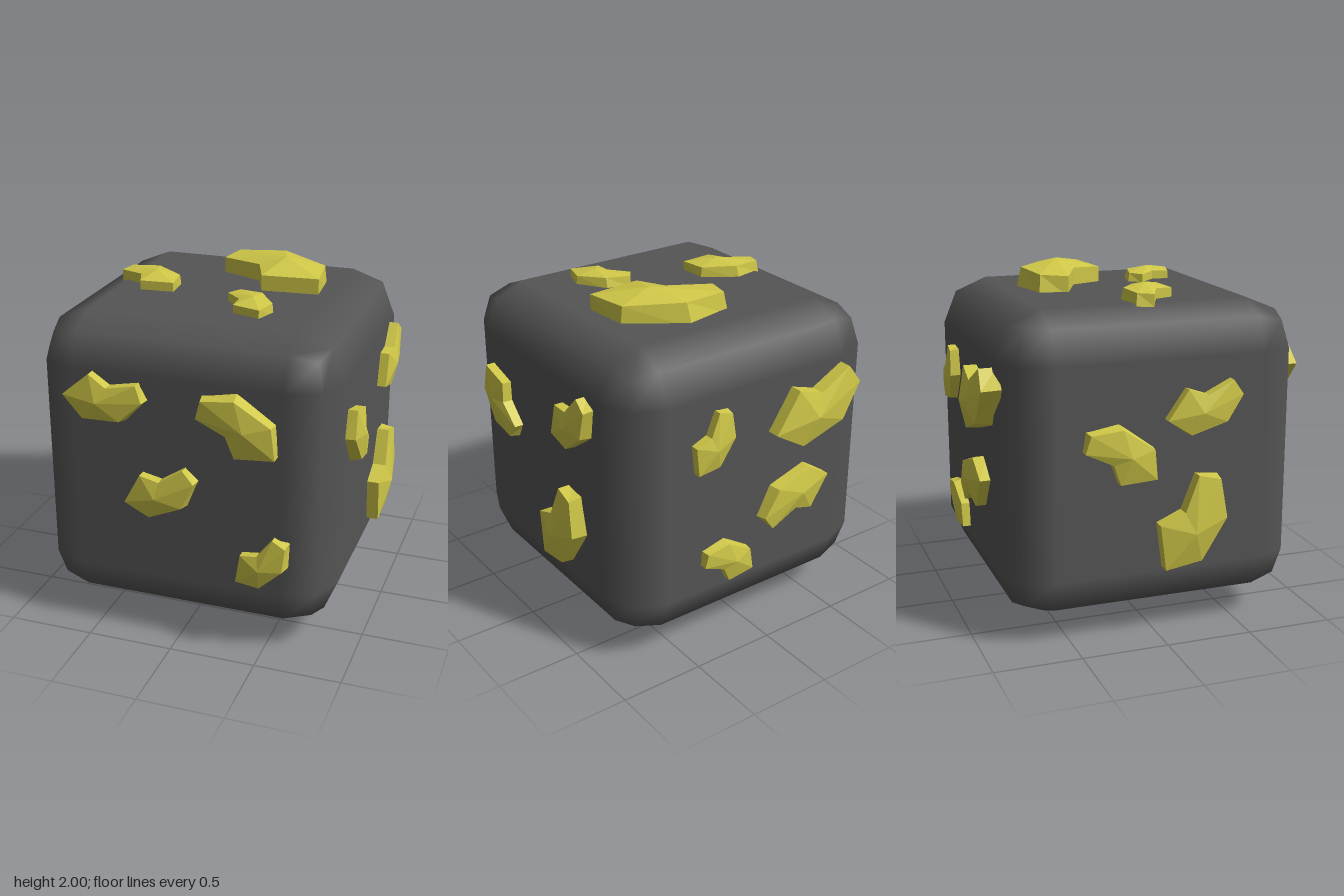
import * as THREE from 'three';
import { RoundedBoxGeometry } from 'three/addons/geometries/RoundedBoxGeometry.js';

// Nugget outline, clockwise, from the narrow tip to the wide end and back to the notch:
// [u, v, rim height, inset of the rim towards the peak]
const OUTLINE = [
  [0, 0, 0.09, 0], [0.02, 0.17, 0.1, 0.06], [0.31, 0.23, 0.11, 0.13], [0.63, 0.01, 0.095, 0.06],
  [0.65, -0.26, 0.09, 0], [0.32, -0.29, 0.09, 0], [0.25, -0.11, 0.1, 0],
];
const PEAK = [0.4, -0.05, 0.145];
const SPAN = new THREE.Vector2(0.65, -0.26);
const SINK = -0.03;

// Faces of the block: origin, and the u and v directions seen from outside.
// Each nugget is given by its tip (u, v) and the far corner of its wide end (u, v).
const FACES = [
  { name: 'front', o: [0, 0, 0.87], u: [1, 0, 0], v: [0, 1, 0], nuggets: [
    [0.14, 1.42, 0.58, 1.24], [-0.2, 1.56, -0.63, 1.46], [0.06, 1.1, -0.285, 0.86], [0.57, 0.76, 0.36, 0.47]] },
  { name: 'back', o: [0, 0, -0.86], u: [-1, 0, 0], v: [0, 1, 0], nuggets: [
    [0.58, 1.56, 0.07, 1.27], [-0.31, 1.51, -0.44, 1.17], [0.08, 0.67, 0.48, 0.9], [-0.39, 0.57, -0.05, 0.45]] },
  { name: 'left', o: [0.87, 0, 0], u: [0, 0, -1], v: [0, 1, 0], nuggets: [
    [-0.225, 1.14, -0.54, 1.42], [0.465, 1.59, 0.19, 1.28], [0.27, 0.97, 0.075, 0.46]] },
  { name: 'right', o: [-0.86, 0, 0], u: [0, 0, 1], v: [0, 1, 0], nuggets: [
    [0.4, 1.47, 0.02, 1.27], [-0.45, 1.13, -0.04, 0.95], [0.2, 0.95, 0.01, 0.42]] },
  { name: 'top', o: [0, 1.86, 0], u: [1, 0, 0], v: [0, 0, -1], nuggets: [
    [-0.11, 0.28, 0.54, 0.02], [-0.64, -0.04, -0.26, -0.2], [0.09, -0.25, 0.35, -0.5]] },
  { name: 'bottom', o: [0, 0.13, 0], u: [1, 0, 0], v: [0, 0, 1], nuggets: [
    [-0.09, -0.13, 0.42, -0.46], [-0.5, 0.27, -0.3, -0.05], [0.65, 0.35, 0.27, 0.4]] },
];

// Faceted nugget: straight walls and a fan of facets rising to an off-centre peak
function nuggetGeometry() {
  const base = OUTLINE.map(([u, v]) => [u, v, SINK]);
  const rim = OUTLINE.map(([u, v, h, k]) => [
    THREE.MathUtils.lerp(u, PEAK[0], k), THREE.MathUtils.lerp(v, PEAK[1], k), h]);
  const pos = [];
  const n = OUTLINE.length;
  for (let i = 0; i < n; i++) {
    const j = (i + 1) % n;
    pos.push(...base[i], ...rim[i], ...rim[j]);
    pos.push(...base[i], ...rim[j], ...base[j]);
    pos.push(...PEAK, ...rim[j], ...rim[i]);
  }
  const geo = new THREE.BufferGeometry();
  geo.setAttribute('position', new THREE.Float32BufferAttribute(pos, 3));
  geo.computeVertexNormals();
  return geo;
}

export function createModel() {
  const model = new THREE.Group();
  model.name = 'oreBlock';
  const stone = new THREE.MeshStandardMaterial({ color: 0x555555 });
  const ore = new THREE.MeshStandardMaterial({ color: 0xd0c848, flatShading: true });

  // Stone block with two-step rounded edges
  const block = new THREE.Mesh(new RoundedBoxGeometry(1.73, 1.73, 1.73, 1, 0.265), stone);
  block.name = 'stoneBlock';
  block.position.set(0.005, 0.995, 0.005);
  model.add(block);

  // Ore nuggets, turned and scaled on every face
  const geo = nuggetGeometry();
  for (const { name, o, u, v, nuggets } of FACES) {
    const face = new THREE.Group();
    face.name = name + 'Nuggets';
    const U = new THREE.Vector3(...u), V = new THREE.Vector3(...v);
    const basis = new THREE.Matrix4().makeBasis(U, V, U.clone().cross(V));
    face.quaternion.setFromRotationMatrix(basis);
    face.position.set(...o);
    nuggets.forEach(([au, av, eu, ev], i) => {
      const d = new THREE.Vector2(eu - au, ev - av);
      const nugget = new THREE.Mesh(geo, ore);
      nugget.name = name + 'Nugget' + (i + 1);
      nugget.position.set(au, av, 0);
      nugget.rotation.z = d.angle() - SPAN.angle();
      nugget.scale.setScalar(d.length() / SPAN.length());
      face.add(nugget);
    });
    model.add(face);
  }
  return model;
}
